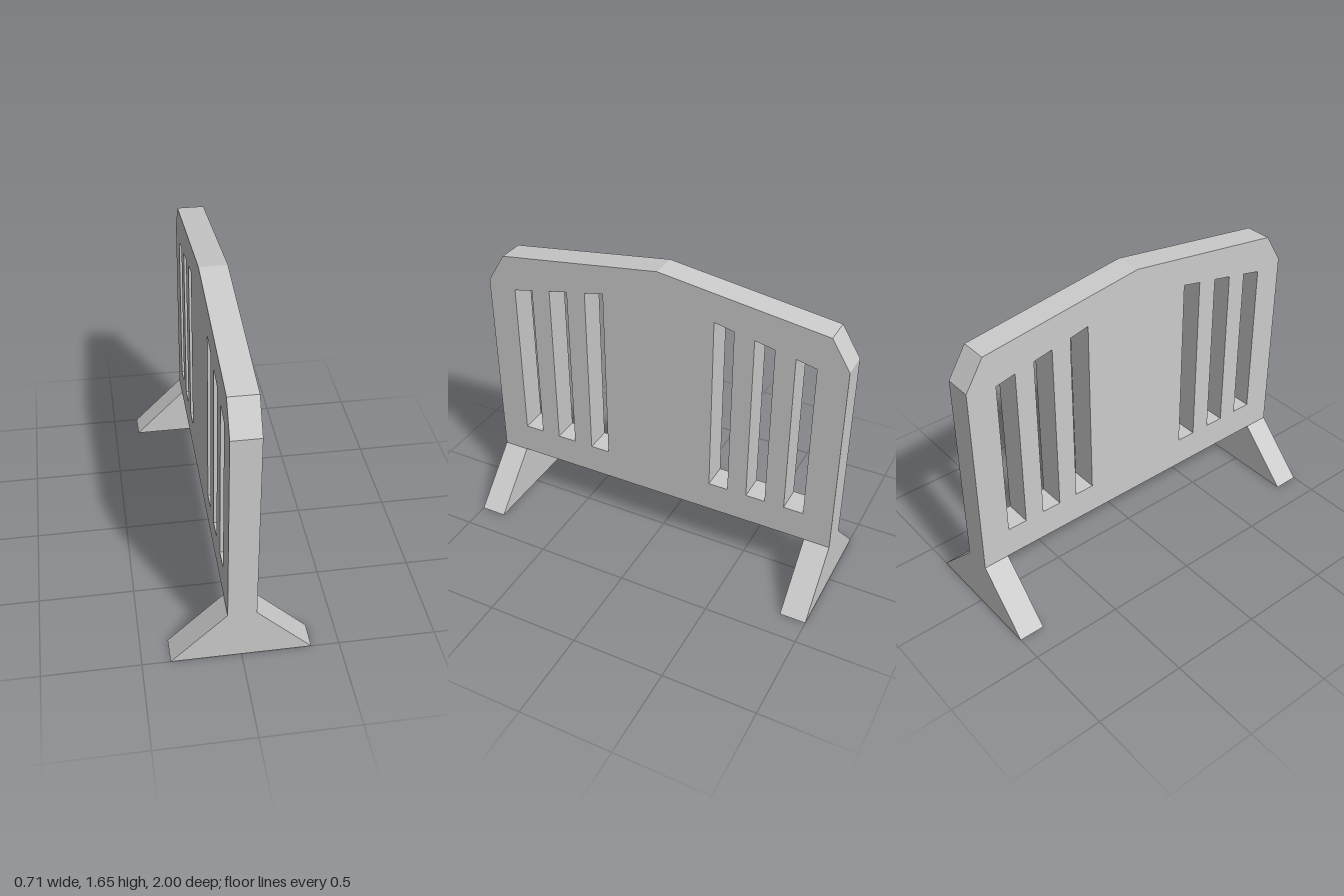
import * as THREE from 'three';

const HALF_THICK = 0.0725;
const FOOT_HALF = 0.357;
const PANEL_BASE = 0.29;

function polygon(points, Type = THREE.Shape) {
  return new Type(points.map(([x, y]) => new THREE.Vector2(x, y)));
}

export function createModel() {
  const group = new THREE.Group();
  const material = new THREE.MeshStandardMaterial({ color: 0xcccccc, flatShading: true });

  const add = (name, geometry) => {
    const mesh = new THREE.Mesh(geometry, material);
    mesh.name = name;
    group.add(mesh);
    return mesh;
  };

  // Barrier panel: gabled outline drawn along z, with chamfered shoulders
  const outline = polygon([
    [-1, PANEL_BASE], [1, PANEL_BASE], [1, 1.37], [0.9, 1.53],
    [0, 1.655], [-0.9, 1.53], [-1, 1.37],
  ]);

  // Three slots per side, tops sloping with the gable: [inner z, outer z, inner top, outer top]
  const slots = [
    [0.308, 0.415, 1.455, 1.432],
    [0.522, 0.628, 1.412, 1.39],
    [0.735, 0.842, 1.368, 1.345],
  ];
  for (const side of [-1, 1]) {
    for (const [inner, outer, innerTop, outerTop] of slots) {
      outline.holes.push(polygon([
        [side * inner, 0.46], [side * inner, innerTop],
        [side * outer, outerTop], [side * outer, 0.46],
      ], THREE.Path));
    }
  }
  const panel = new THREE.ExtrudeGeometry(outline, { depth: 2 * HALF_THICK, bevelEnabled: false });
  panel.translate(0, 0, -HALF_THICK);
  panel.rotateY(-Math.PI / 2);
  add('barrierPanel', panel);

  // Splayed feet under each end
  const footShape = polygon([
    [-FOOT_HALF, 0], [FOOT_HALF, 0], [HALF_THICK, PANEL_BASE], [-HALF_THICK, PANEL_BASE],
  ]);
  const footDepth = 0.14;
  const foot = new THREE.ExtrudeGeometry(footShape, { depth: footDepth, bevelEnabled: false });
  add('frontFoot', foot).position.z = 1 - footDepth;
  add('backFoot', foot).position.z = -1;

  return group;
}
